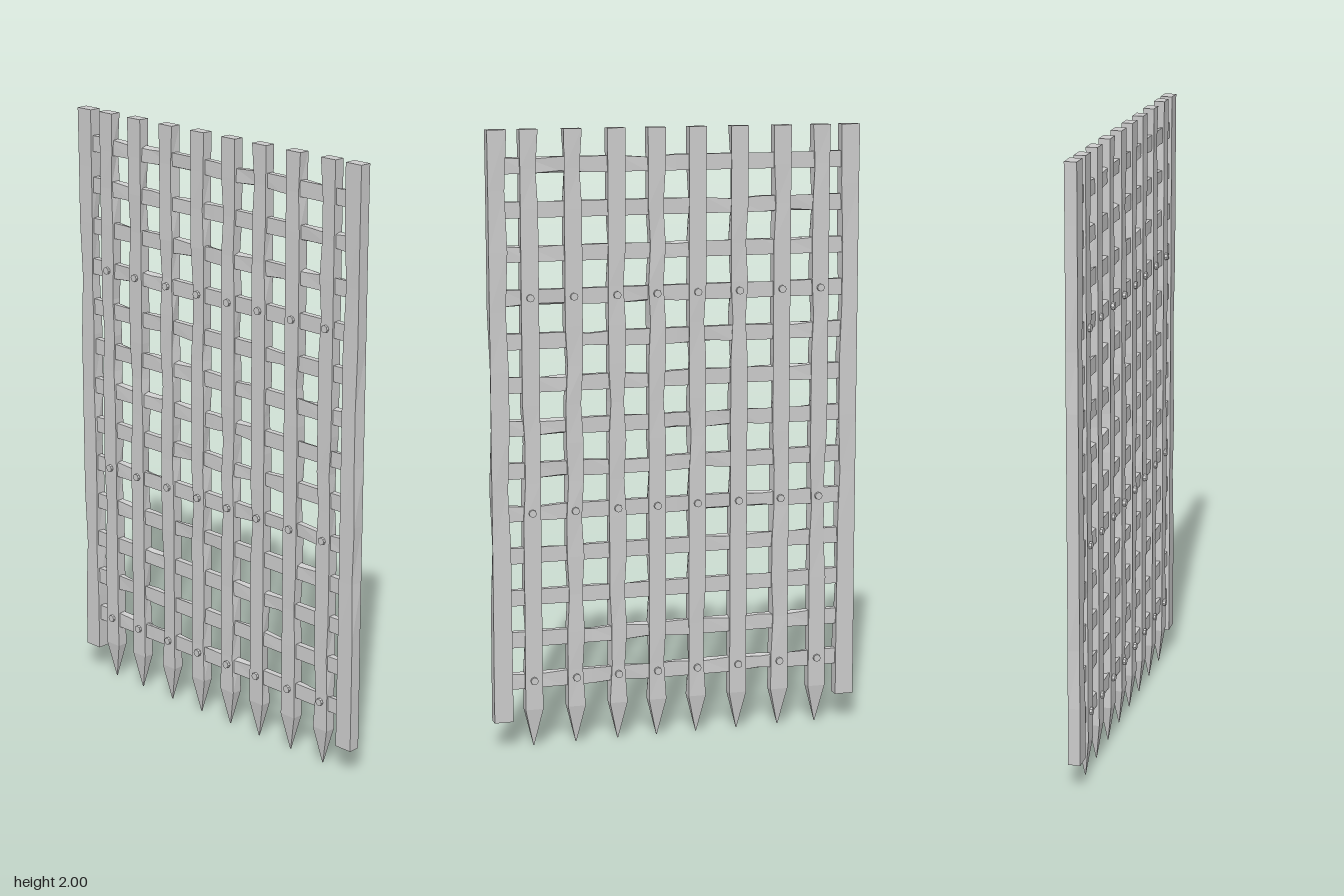
import * as THREE from 'three';

const material = new THREE.MeshStandardMaterial({ color: 0xcccccc, flatShading: true });

// Repeatable value in 0..1 for a key, so that coincident corners move together
function hash(...key) {
  const s = Math.sin(key.reduce((sum, k, i) => sum + Math.round(k * 1000) * (12.9898 + i * 31.17), 4.1)) * 43758.5453;
  return s - Math.floor(s);
}

// Forged bar along y from y0 to y1, with sparse hammered dents along its edges
function forgedBar(width, depth, y0, y1, segments, seed, pointed = false) {
  const length = y1 - y0;
  const geometry = new THREE.BoxGeometry(width, length, depth, 1, segments, 1);
  geometry.translate(0, y0 + length / 2, 0);
  const p = geometry.attributes.position;
  for (let i = 0; i < p.count; i++) {
    const x = p.getX(i), y = p.getY(i), z = p.getZ(i);
    const step = Math.round((y - y0) / length * segments);
    if (pointed && step === 0) {
      // Draw the foot out to a spike
      p.setXYZ(i, x * 0.04, y, z * 0.06);
    } else if (step > 1 && step < segments) {
      const dented = hash(step, Math.sign(x), Math.sign(z), seed) > 0.8;
      const dent = dented ? 0.008 : 0.001;
      p.setX(i, x - Math.sign(x) * dent);
      p.setZ(i, z - Math.sign(z) * dent * 0.3);
    }
  }
  geometry.computeVertexNormals();
  return geometry;
}

export function createModel() {
  const model = new THREE.Group();
  model.name = 'portcullis';

  function add(parent, name, geometry, x = 0, y = 0, z = 0) {
    const mesh = new THREE.Mesh(geometry, material);
    mesh.name = name;
    mesh.position.set(x, y, z);
    parent.add(mesh);
    return mesh;
  }

  function group(name) {
    const g = new THREE.Group();
    g.name = name;
    model.add(g);
    return g;
  }

  // Side rails with square feet
  for (const side of [-1, 1]) {
    add(model, side > 0 ? 'leftRail' : 'rightRail',
      forgedBar(0.062, 0.039, 0.09, 2, 10, 40 + side), side * 0.586);
  }

  // Spiked upright bars
  const barX = [-0.487, -0.355, -0.21, -0.069, 0.067, 0.2, 0.342, 0.484];
  const uprights = group('uprights');
  barX.forEach((x, i) => add(uprights, 'spikedBar', forgedBar(0.059, 0.036, 0, 2, 16, i + 1, true), x));

  // Crossbars threaded through the uprights
  const rowY = (row) => 0.222 + row * 0.1388;
  const crossbars = group('crossbars');
  for (let row = 0; row < 13; row++) {
    const bar = add(crossbars, 'crossbar', forgedBar(0.053, 0.022, -0.575, 0.575, 12, row + 60), 0, rowY(row));
    bar.rotation.z = -Math.PI / 2;
  }

  // Rivets through three of the crossbar rows, showing on both faces
  const rivets = group('rivets');
  const rivetGeometry = new THREE.CylinderGeometry(0.0125, 0.0125, 0.052, 8);
  rivetGeometry.rotateX(Math.PI / 2);
  for (const row of [0, 4, 9]) {
    for (const x of barX) add(rivets, 'rivet', rivetGeometry, x, rowY(row));
  }

  return model;
}
